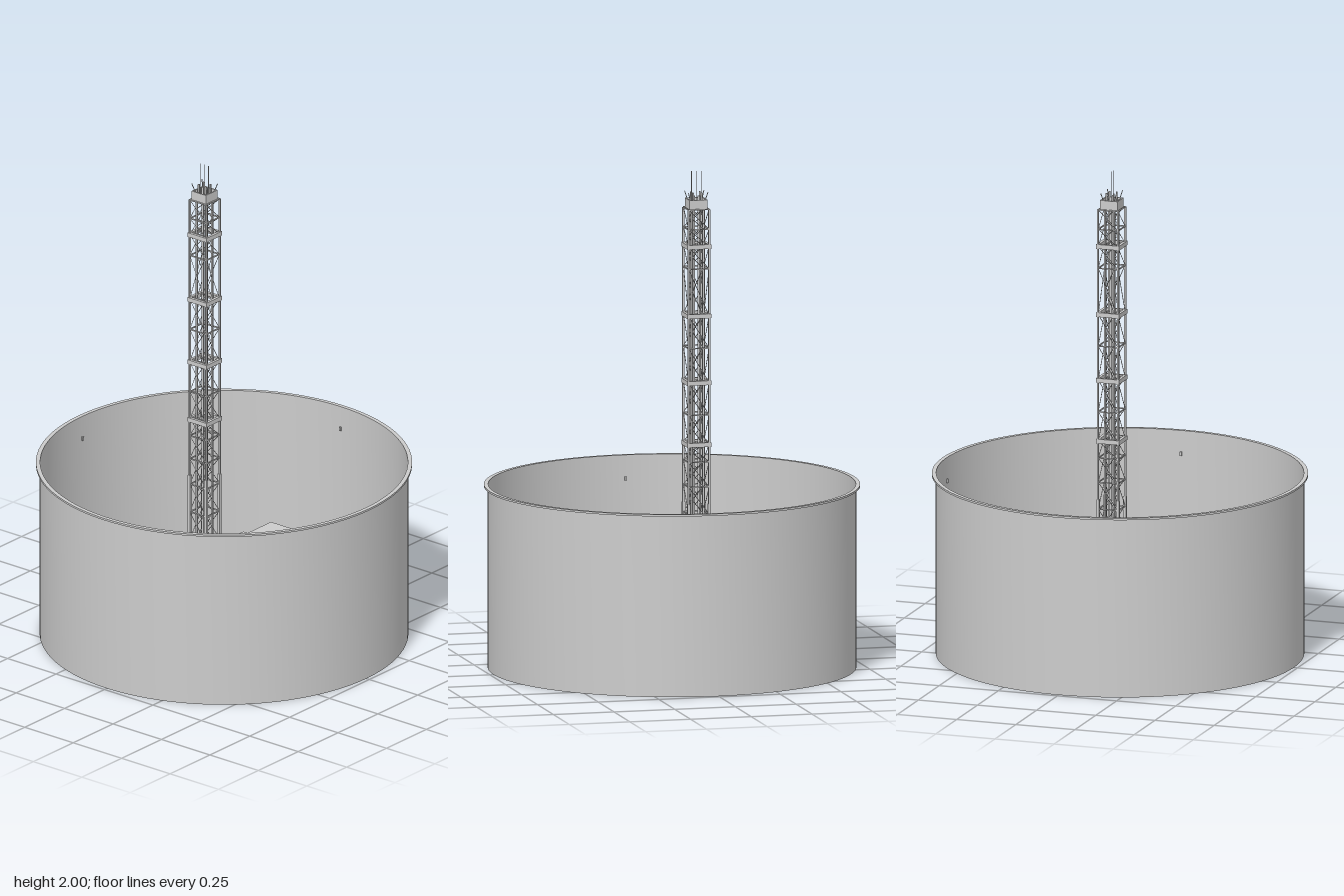
import * as THREE from 'three';
import { toCreasedNormals } from 'three/addons/utils/BufferGeometryUtils.js';

const grey = new THREE.MeshStandardMaterial({ color: 0xcccccc });
const greyDouble = new THREE.MeshStandardMaterial({ color: 0xcccccc, side: THREE.DoubleSide });

const FLOOR = 0.02;
const TOWER_TOP = 1.85;

function box(parent, name, w, h, d, x, y, z) {
  const m = new THREE.Mesh(new THREE.BoxGeometry(w, h, d), grey);
  m.name = name;
  m.position.set(x, y, z);
  parent.add(m);
  return m;
}

// round bar between two points
function bar(parent, name, a, b, r, sides = 5) {
  const from = new THREE.Vector3(...a), dir = new THREE.Vector3(...b).sub(from);
  const m = new THREE.Mesh(new THREE.CylinderGeometry(r, r, dir.length(), sides), grey);
  m.name = name;
  m.position.copy(from).addScaledVector(dir, 0.5);
  m.quaternion.setFromUnitVectors(new THREE.Vector3(0, 1, 0), dir.normalize());
  parent.add(m);
}

// square frame of four beams
function frame(parent, name, half, y, h, t) {
  for (const s of [-1, 1]) {
    box(parent, name, half * 2, h, t, 0, y, s * (half - t / 2));
    box(parent, name, t, h, half * 2 - t * 2, s * (half - t / 2), y, 0);
  }
}

// open drum with a flat rim and a floor
function makeDrum() {
  const profile = [[0, 0], [0.735, 0], [0.735, 0.732], [0.75, 0.732], [0.75, 0.74],
    [0.733, 0.74], [0.732, FLOOR], [0, FLOOR]].map(p => new THREE.Vector2(...p));
  const geo = toCreasedNormals(new THREE.LatheGeometry(profile, 96), 0.6);
  const drum = new THREE.Mesh(geo, grey);
  drum.name = 'drum';
  return drum;
}

// grid of square blocks on the floor, of varied height
function makeBlocks() {
  const g = new THREE.Group();
  g.name = 'blocks';
  const rows = [
    [-3, [-1, 0, 1], [0.22, 0.215, 0.18]],
    [-2, [-2, -1, 0, 1, 2], [0.18, 0.235, 0.17, 0.2, 0.16]],
    [-1, [-3, -2, -1, 1], [0.15, 0.235, 0.19, 0.2]],
    [0, [-3, -2, 2, 3], [0.17, 0.2, 0.21, 0.16]],
    [1, [-3, -2, -1, 0, 1, 2, 3], [0.16, 0.2, 0.18, 0.21, 0.17, 0.2, 0.22]],
    [2, [-2, -1, 0, 1, 2], [0.18, 0.2, 0.16, 0.19, 0.225]],
    [3, [-1, 0, 1], [0.17, 0.16, 0.24]],
  ];
  for (const [row, columns, tops] of rows) {
    columns.forEach((c, i) => {
      const h = tops[i] - FLOOR;
      box(g, 'block', 0.146, h, 0.146, c * 0.174, FLOOR + h / 2, row * 0.174);
    });
  }
  return g;
}

// lattice mast standing on the floor
function makeTower() {
  const g = new THREE.Group();
  g.name = 'tower';
  g.position.x = -0.1;
  const corners = [[-1, -1], [1, -1], [1, 1], [-1, 1]];

  // outer and inner legs
  for (const [sx, sz] of corners) {
    const h = TOWER_TOP - FLOOR, y = FLOOR + h / 2;
    box(g, 'outerLeg', 0.007, h, 0.007, sx * 0.0425, y, sz * 0.0425);
    box(g, 'innerLeg', 0.007, h + 0.03, 0.007, sx * 0.024, y + 0.015, sz * 0.019);
    box(g, 'baseLeg', 0.012, 0.64, 0.012, sx * 0.042, FLOOR + 0.32, sz * 0.042);
  }
  // central riser pipes
  for (const x of [-0.01, 0.01]) bar(g, 'riser', [x, FLOOR, 0], [x, 1.9, 0], 0.005, 8);

  // collars, ties and braces, bay by bay
  const collars = [0.9, 1.15, 1.42, 1.7];
  for (const y of collars) {
    frame(g, 'collar', 0.049, y, 0.018, 0.012);
    for (const s of [-1, 1]) box(g, 'collarBeam', 0.08, 0.006, 0.005, 0, y, s * 0.021);
  }
  const levels = [0.02, 0.14, 0.26, 0.38, 0.5, 0.62, 0.73, 0.83, 0.9, 1.02, 1.15, 1.29,
    1.42, 1.61, 1.7, 1.77, 1.85];
  levels.forEach((y, i) => {
    if (i && !collars.includes(y)) frame(g, 'tie', 0.044, y, 0.005, 0.004);
    if (!i) return;
    const y0 = levels[i - 1], mid = (y0 + y) / 2;
    corners.forEach(([ax, az], k) => {
      const [bx, bz] = corners[(k + 1) % 4];
      const o = 0.042, n = 0.022;
      // outer chevron brace and inner diagonals
      const apex = [(ax + bx) / 2 * o, mid, (az + bz) / 2 * o];
      bar(g, 'brace', [ax * o, y0, az * o], apex, 0.0014, 4);
      bar(g, 'brace', [bx * o, y, bz * o], apex, 0.0014, 4);
      bar(g, 'innerBrace', [ax * n, y0, az * n], [bx * n, mid, bz * n], 0.0014, 4);
      bar(g, 'innerBrace', [bx * n, mid, bz * n], [ax * n, y, az * n], 0.0014, 4);
    });
  });

  // head with flared struts
  frame(g, 'head', 0.037, 1.868, 0.04, 0.005);
  box(g, 'headPlate', 0.066, 0.005, 0.05, 0, 1.862, 0);
  for (const [sx, sz] of corners) {
    bar(g, 'headStrut', [sx * 0.02, 1.85, sz * 0.015], [sx * 0.04, 1.917, sz * 0.032], 0.0018);
    box(g, 'headPost', 0.006, 0.06, 0.006, sx * 0.018, 1.885, sz * 0.015);
  }
  // flat whip antennas
  for (const x of [-0.02, 0, 0.02]) {
    const m = new THREE.Mesh(new THREE.PlaneGeometry(0.003, 0.13), greyDouble);
    m.name = 'antenna';
    m.position.set(x, 1.935, 0);
    g.add(m);
  }
  return g;
}

export function createModel() {
  const model = new THREE.Group();
  model.add(makeDrum(), makeBlocks(), makeTower());
  // small lugs under the rim
  for (let i = 0; i < 4; i++) {
    const a = i * Math.PI / 2;
    const lug = box(model, 'lug', 0.008, 0.016, 0.008, Math.cos(a) * 0.73, 0.645, Math.sin(a) * 0.73);
    lug.rotation.y = -a;
  }
  return model;
}
